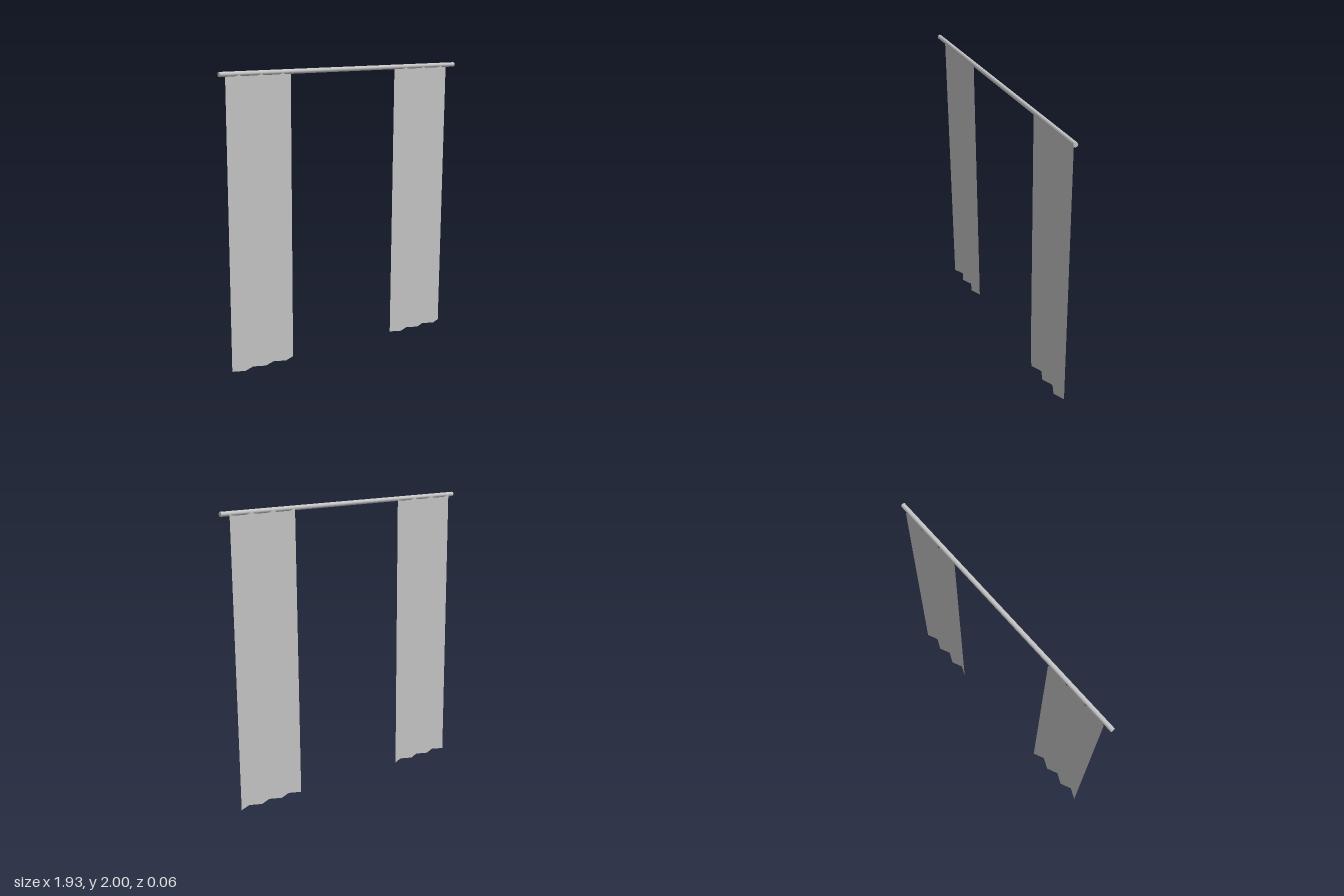
import * as THREE from 'three';

const BOTTOM = 0, TOP = 1.983;          // curtain heights
const INNER = 0.43, OUTER = 0.91;       // curtain extent along the rod
const FOLDS = 6;                        // zigzag faces per curtain

// Pleated sheet that leans slightly forward towards the rod; its soft shading stays even
function pleatedSheet() {
  const geo = new THREE.PlaneGeometry(OUTER - INNER, TOP - BOTTOM, FOLDS, 1);
  const pos = geo.attributes.position;
  for (let i = 0; i < pos.count; i++) {
    const column = i % (FOLDS + 1);
    const back = pos.getY(i) > 0 ? -0.009 : -0.029;
    pos.setZ(i, back + (column % 2) * 0.037);
  }
  return geo;
}

export function createModel() {
  const model = new THREE.Group();
  model.name = 'curtainsOnRod';
  const lightGrey = new THREE.MeshStandardMaterial({ name: 'lightGrey', color: 0xc8c8c8, side: THREE.DoubleSide });

  // Horizontal rod
  const rod = new THREE.Mesh(new THREE.CylinderGeometry(0.016, 0.016, 1.93, 12), lightGrey);
  rod.name = 'rod';
  rod.rotation.z = Math.PI / 2;
  rod.position.set(0, 1.984, 0.012);
  model.add(rod);

  // One curtain at each end
  const sheet = pleatedSheet();
  for (const side of [-1, 1]) {
    const curtain = new THREE.Mesh(sheet, lightGrey);
    curtain.name = side > 0 ? 'leftCurtain' : 'rightCurtain';
    curtain.position.set(side * (INNER + OUTER) / 2, (TOP + BOTTOM) / 2, 0);
    model.add(curtain);
  }
  return model;
}
